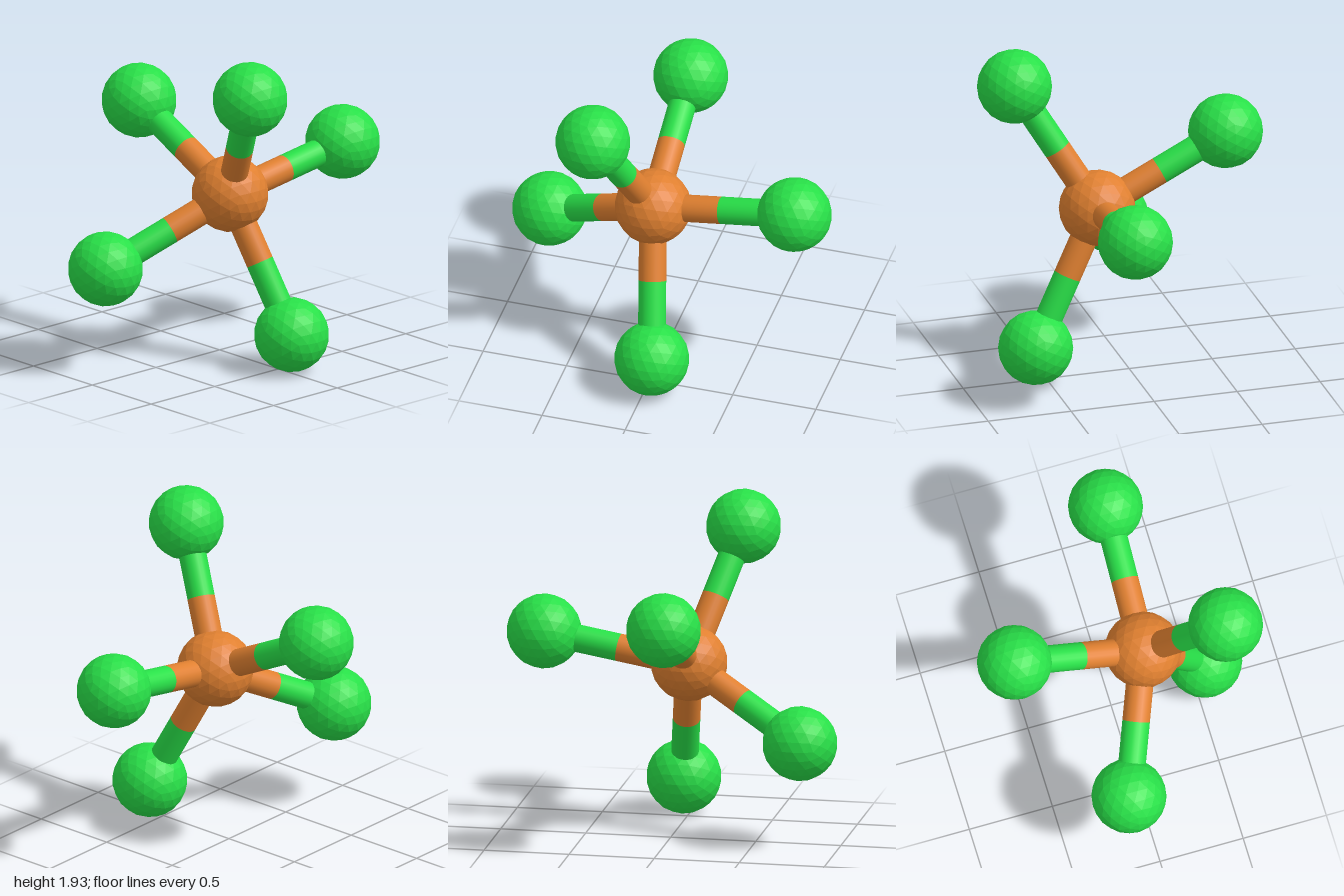
import * as THREE from 'three';

export function createModel() {
  const model = new THREE.Group();
  model.name = 'molecule';

  const orange = new THREE.MeshStandardMaterial({ color: 0xe08030, flatShading: true });
  const green = new THREE.MeshStandardMaterial({ color: 0x28e048, flatShading: true });
  const orangeBond = new THREE.MeshStandardMaterial({ color: 0xe08030 });
  const greenBond = new THREE.MeshStandardMaterial({ color: 0x28e048 });

  const core = new THREE.Vector3(0.17, 1.0, 0.075);
  const outer = {
    upperRight: new THREE.Vector3(-0.603, 1.388, 0.075),
    top: new THREE.Vector3(0.597, 1.718, 0.312),
    back: new THREE.Vector3(0.198, 1.14, -0.783),
    front: new THREE.Vector3(-0.123, 0.628, 0.783),
    bottom: new THREE.Vector3(0.574, 0.217, -0.035),
  };

  // Faceted ball
  function addAtom(name, position, radius, material) {
    const atom = new THREE.Mesh(new THREE.IcosahedronGeometry(radius, 3), material);
    atom.name = name;
    atom.position.copy(position);
    model.add(atom);
  }

  // Round rod between two points
  function addRod(name, from, to, material) {
    const dir = to.clone().sub(from);
    const rod = new THREE.Mesh(new THREE.CylinderGeometry(0.08, 0.08, dir.length(), 24), material);
    rod.name = name;
    rod.position.copy(from).add(to).multiplyScalar(0.5);
    rod.quaternion.setFromUnitVectors(new THREE.Vector3(0, 1, 0), dir.normalize());
    model.add(rod);
  }

  addAtom('centralAtom', core, 0.222, orange);

  // Outer atoms, each joined to the centre by a two-coloured bond
  for (const [name, position] of Object.entries(outer)) {
    addAtom(`${name}Atom`, position, 0.217, green);
    const middle = core.clone().lerp(position, 0.485);
    addRod(`${name}BondInner`, core, middle, orangeBond);
    addRod(`${name}BondOuter`, middle, position, greenBond);
  }

  return model;
}
